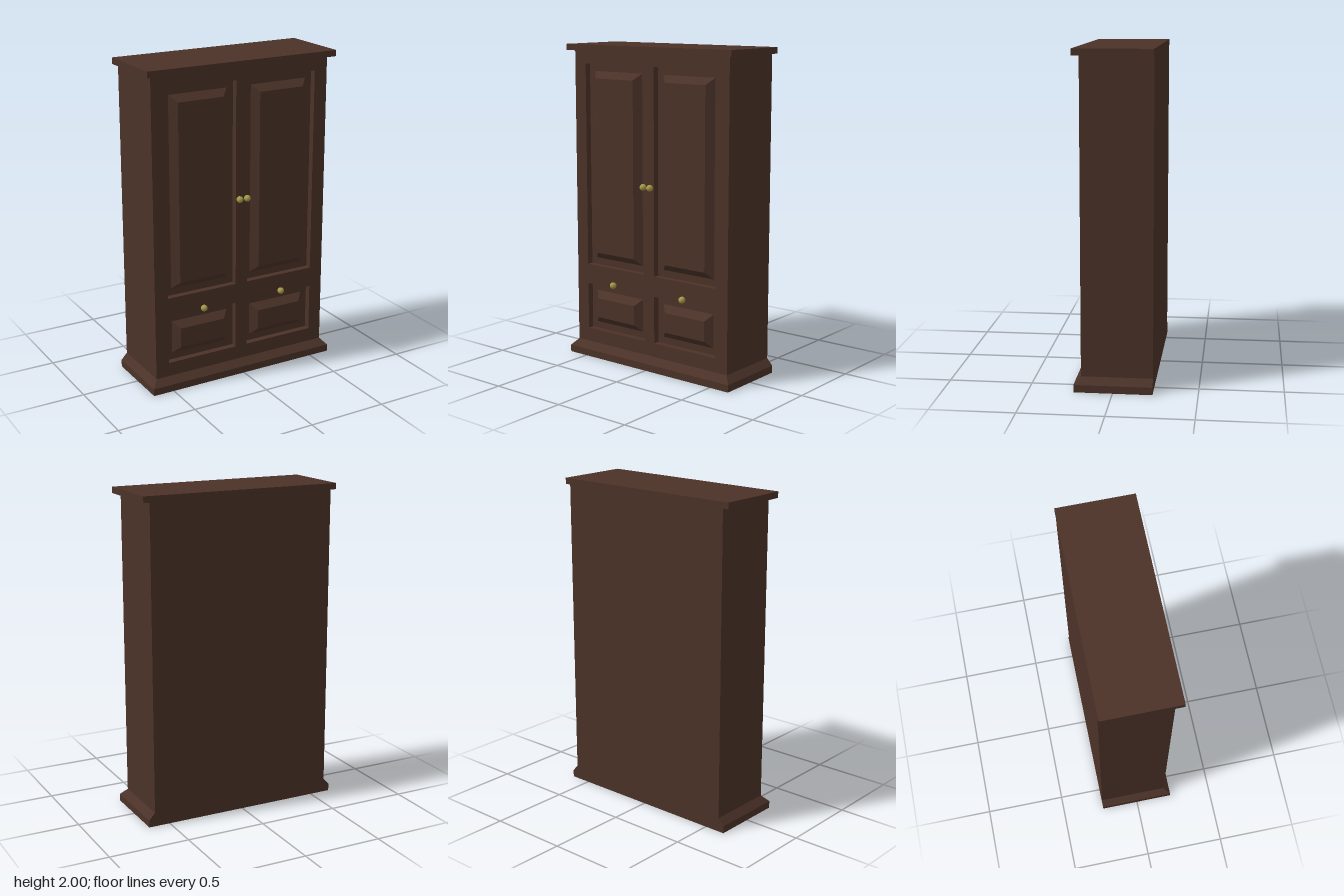
import * as THREE from 'three';

const wood = new THREE.MeshStandardMaterial({ color: 0x4b3228 });
wood.name = 'darkWood';
const brass = new THREE.MeshStandardMaterial({ color: 0xa89a48 });
brass.name = 'brass';

const BACK = -0.235, FLOOR = 0.15, FRONT = 0.19, LIP = 0.23;
const HALF = 0.597, WIDE = 0.635;

function add(parent, name, geometry, material = wood) {
  const mesh = new THREE.Mesh(geometry, material);
  mesh.name = name;
  parent.add(mesh);
  return mesh;
}

// Box given by its limits on each axis
function block(x0, x1, y0, y1, z0, z1) {
  return new THREE.BoxGeometry(x1 - x0, y1 - y0, z1 - z0)
    .translate((x0 + x1) / 2, (y0 + y1) / 2, (z0 + z1) / 2);
}

// Move the vertices of a box by a rule, keeping flat faces
function reshape(geometry, rule) {
  const p = geometry.attributes.position;
  const v = new THREE.Vector3();
  for (let i = 0; i < p.count; i++) {
    rule(v.fromBufferAttribute(p, i));
    p.setXYZ(i, v.x, v.y, v.z);
  }
  geometry.computeVertexNormals();
  return geometry;
}

// Raised panel: its front face is inset on all four sides
function raisedPanel(x0, x1, y0, y1, inset) {
  const cx = (x0 + x1) / 2, cy = (y0 + y1) / 2;
  return reshape(block(x0, x1, y0, y1, FLOOR, FRONT), (v) => {
    if (v.z < FRONT - 0.01) return;
    v.x -= Math.sign(v.x - cx) * inset;
    v.y -= Math.sign(v.y - cy) * inset;
  });
}

function rectangle(target, x0, x1, y0, y1) {
  target.moveTo(x0, y0);
  target.lineTo(x1, y0);
  target.lineTo(x1, y1);
  target.lineTo(x0, y1);
  target.closePath();
  return target;
}

export function createModel() {
  const group = new THREE.Group();
  group.name = 'wardrobe';

  // Carcass, cornice and plinth
  add(group, 'carcass', block(-HALF, HALF, 0.085, 1.965, BACK, FLOOR));
  add(group, 'cornice', block(-WIDE, WIDE, 1.962, 2, BACK, LIP));
  add(group, 'plinth', block(-WIDE, WIDE, 0, 0.045, BACK, LIP));

  // Sloped moulding on the front and sides of the plinth
  add(group, 'plinthMoulding', reshape(block(-WIDE, WIDE, 0.045, 0.087, BACK, LIP), (v) => {
    if (v.y < 0.08) return;
    v.x = Math.sign(v.x) * HALF;
    if (v.z > 0) v.z = FRONT;
  }));

  // Front frame with four openings, each holding a raised panel
  const frame = rectangle(new THREE.Shape(), -HALF, HALF, 0.085, 1.965);
  const bays = [
    { name: 'door', y0: 0.6, y1: 1.88, knobX: 0.026, knobY: 1.153 },
    { name: 'drawer', y0: 0.175, y1: 0.473, knobX: 0.276, knobY: 0.498 },
  ];
  for (const side of [-1, 1]) {
    const suffix = side > 0 ? 'Left' : 'Right';
    for (const { name, y0, y1, knobX, knobY } of bays) {
      const [x0, x1] = side > 0 ? [0.04, 0.51] : [-0.51, -0.04];
      frame.holes.push(rectangle(new THREE.Path(), x0, x1, y0, y1));
      add(group, name + 'Panel' + suffix,
        raisedPanel(x0 + 0.043, x1 - 0.043, y0 + 0.043, y1 - 0.046, 0.042));

      // Faceted ball knob, pole facing forward
      const knob = add(group, name + 'Knob' + suffix,
        new THREE.SphereGeometry(0.021, 12, 8).rotateX(Math.PI / 2), brass);
      knob.position.set(side * knobX, knobY, 0.214);
    }
  }
  add(group, 'frontFrame',
    new THREE.ExtrudeGeometry(frame, { depth: FRONT - FLOOR, bevelEnabled: false })
      .translate(0, 0, FLOOR));

  return group;
}
